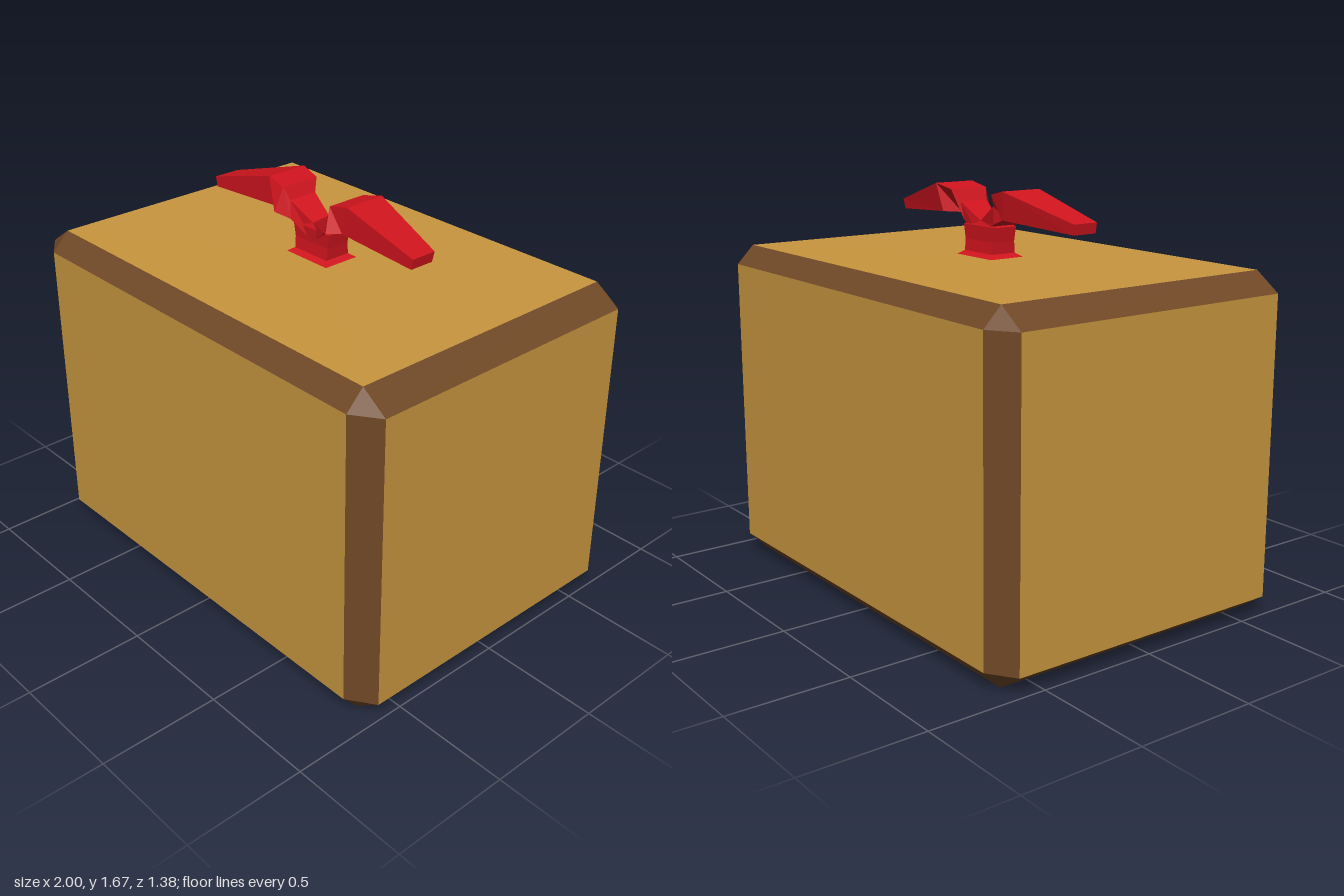
import * as THREE from 'three';

const material = (color) => new THREE.MeshStandardMaterial({ color, flatShading: true });

// Flat-shaded mesh from polygons given as corner lists (counter-clockwise from outside)
function polyMesh(name, polygons, mat) {
  const pos = [];
  for (const p of polygons)
    for (let i = 1; i < p.length - 1; i++) pos.push(...p[0], ...p[i], ...p[i + 1]);
  const geo = new THREE.BufferGeometry();
  geo.setAttribute('position', new THREE.Float32BufferAttribute(pos, 3));
  geo.computeVertexNormals();
  const mesh = new THREE.Mesh(geo, mat);
  mesh.name = name;
  return mesh;
}

// Skin through rings of equal size, closed at both ends
function loft(rings) {
  const polys = [[...rings[0]].reverse(), rings[rings.length - 1]];
  for (let k = 0; k < rings.length - 1; k++) {
    const a = rings[k], b = rings[k + 1], n = a.length;
    for (let i = 0; i < n; i++) {
      const j = (i + 1) % n;
      polys.push([a[i], a[j], b[j], b[i]]);
    }
  }
  return polys;
}

// Turn a polygon so that it faces away from a centre
function outward(poly, centre) {
  const [a, b, c] = poly.map((p) => new THREE.Vector3(...p));
  const normal = b.clone().sub(a).cross(c.sub(a));
  return normal.dot(a.sub(centre)) < 0 ? [...poly].reverse() : poly;
}

function createBox(group) {
  const half = [1, 0.69, 0.69], inner = [0.89, 0.613, 0.615];
  const centre = new THREE.Vector3(0, half[1], 0);
  // Corner point lying on the face of the given axis
  const corner = (axis, s) => {
    const p = s.map((v, i) => v * (i === axis ? half[i] : inner[i]));
    p[1] += half[1];
    return p;
  };
  const signs = [-1, 1], panels = [], trim = [];
  for (let a = 0; a < 3; a++) {
    const b = (a + 1) % 3, c = (a + 2) % 3;
    const at = (sa, sb, sc) => { const s = []; s[a] = sa; s[b] = sb; s[c] = sc; return s; };
    // Main faces
    for (const sa of signs) {
      const face = [[-1, -1], [1, -1], [1, 1], [-1, 1]].map(([u, v]) => corner(a, at(sa, u, v)));
      if (a === 1 && sa === 1) {
        // The lid rises very slightly towards the bow
        const pad = face.map((p) => [Math.sign(p[0]) * 0.11, 1.386, Math.sign(p[2]) * 0.08]);
        face.forEach((p, i) => {
          const j = (i + 1) % 4;
          panels.push(outward([p, face[j], pad[j], pad[i]], centre));
        });
        panels.push(outward(pad, centre));
      } else panels.push(outward(face, centre));
    }
    // Bevels running along this axis
    for (const sb of signs) for (const sc of signs)
      trim.push(outward([corner(b, at(-1, sb, sc)), corner(b, at(1, sb, sc)),
        corner(c, at(1, sb, sc)), corner(c, at(-1, sb, sc))], centre));
  }
  // Corner triangles
  for (const x of signs) for (const y of signs) for (const z of signs)
    trim.push(outward([0, 1, 2].map((a) => corner(a, [x, y, z])), centre));
  group.add(polyMesh('boxPanels', panels, material(0xc8963e)));
  group.add(polyMesh('bevelledTrim', trim, material(0x6f4826)));
}

function createBow() {
  const bow = new THREE.Group();
  bow.name = 'bow';
  const red = material(0xd0141e);

  // Knot with a flared foot: [y, half width, half depth]
  const knot = [[1.383, 0.12, 0.085], [1.402, 0.092, 0.058], [1.45, 0.095, 0.052], [1.51, 0.103, 0.055], [1.53, 0.03, 0.045]]
    .map(([y, w, d]) => [[w, y, d], [w, y, -d], [-w, y, -d], [-w, y, d]]);
  bow.add(polyMesh('knot', loft(knot), red));

  // Wing sections: [top x, y, front z, back z, bottom x, y, front z, back z]
  const sections = [
    [0, 1.53, 0.045, -0.045, 0, 1.45, 0.045, -0.045],
    [0.11, 1.598, 0.065, -0.065, 0.1, 1.525, 0.075, -0.055],
    [0.135, 1.648, 0.08, -0.095, 0.15, 1.55, 0.115, -0.03],
    [0.225, 1.668, 0.075, -0.108, 0.2, 1.553, 0.075, -0.09],
    [0.575, 1.57, 0.073, -0.04, 0.568, 1.528, 0.073, -0.035],
  ];
  for (const side of [1, -1]) {
    const rings = sections.map(([tx, ty, tf, tb, bx, by, bf, bb]) => {
      const ring = [[side * tx, ty, tf], [side * bx, by, bf], [side * bx, by, bb], [side * tx, ty, tb]];
      return side > 0 ? ring : ring.reverse();
    });
    bow.add(polyMesh(side > 0 ? 'leftWing' : 'rightWing', loft(rings), red));
  }
  return bow;
}

export function createModel() {
  const group = new THREE.Group();
  group.name = 'giftBox';
  createBox(group);
  group.add(createBow());
  return group;
}
